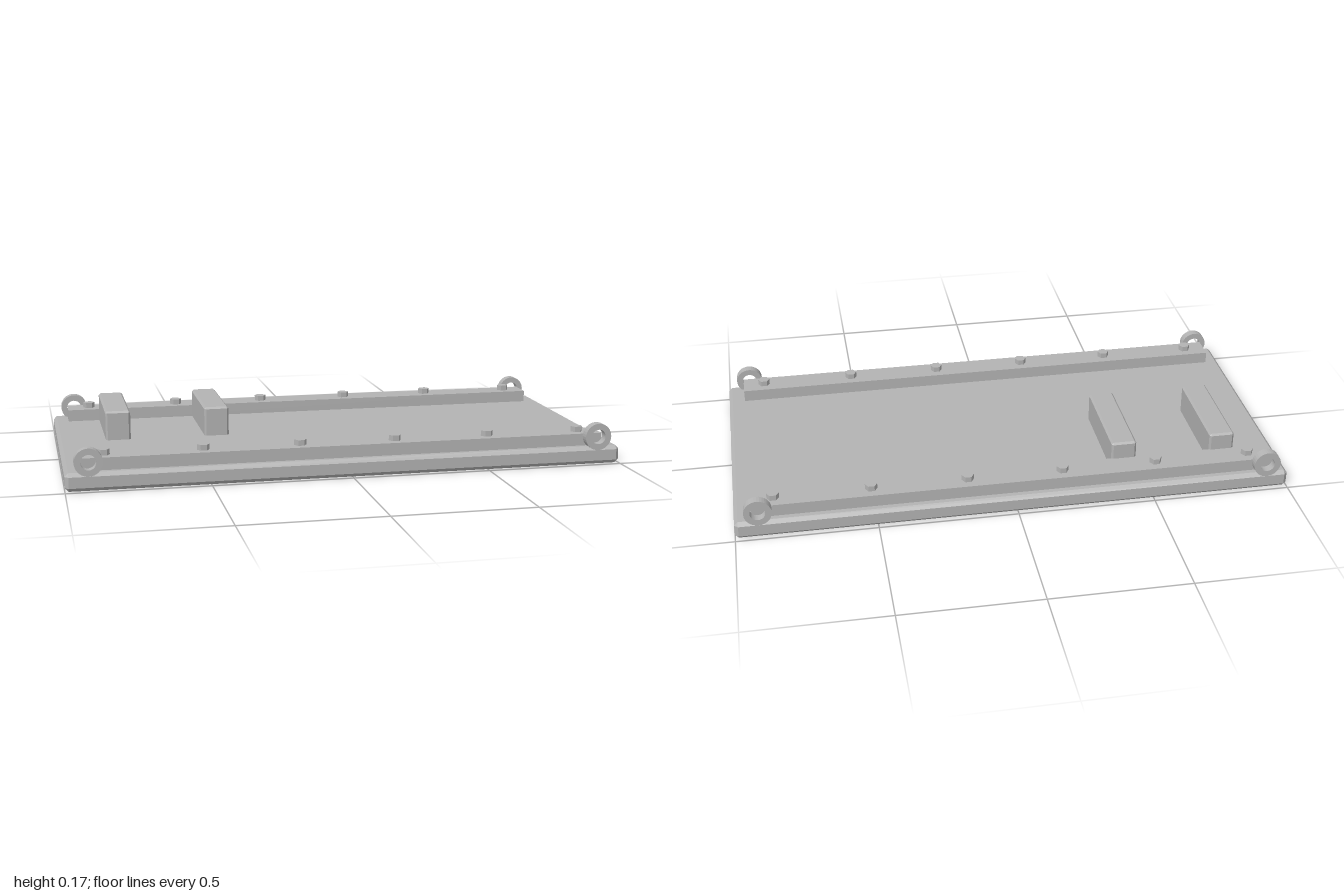
import * as THREE from 'three';
import { ConvexGeometry } from 'three/addons/geometries/ConvexGeometry.js';

// Box with chamfered edges, given by its limits
function chamferBox(x0, x1, y0, y1, z0, z1, c) {
  const half = [(x1 - x0) / 2, (y1 - y0) / 2, (z1 - z0) / 2];
  const points = [];
  for (const sx of [-1, 1]) for (const sy of [-1, 1]) for (const sz of [-1, 1]) {
    for (let full = 0; full < 3; full++) {
      const [x, y, z] = half.map((h, i) => (i === full ? h : h - c));
      points.push(new THREE.Vector3(sx * x, sy * y, sz * z));
    }
  }
  return new ConvexGeometry(points).translate((x0 + x1) / 2, (y0 + y1) / 2, (z0 + z1) / 2);
}

export function createModel() {
  const model = new THREE.Group();
  const grey = new THREE.MeshStandardMaterial({ color: 0xb3b3b3 });
  grey.name = 'grey metal';

  const add = (name, geometry, x = 0, y = 0, z = 0) => {
    const mesh = new THREE.Mesh(geometry, grey);
    mesh.name = name;
    mesh.position.set(x, y, z);
    model.add(mesh);
    return mesh;
  };

  // Base plate
  add('basePlate', chamferBox(-1, 1, 0, 0.065, -0.49, 0.49, 0.013));

  // Two raised blocks towards the back
  for (const x of [-0.78, -0.412]) {
    add('block', chamferBox(x - 0.046, x + 0.046, 0.055, 0.173, -0.367, 0.006, 0.007));
  }

  // Shared shapes: rail, hexagonal bolt head, lifting ring
  const rail = new THREE.BoxGeometry(1.885, 0.05, 0.096);
  const bolt = new THREE.CylinderGeometry(0.022, 0.022, 0.03, 6).toNonIndexed();
  bolt.computeVertexNormals();
  bolt.rotateY(Math.PI / 6);
  const ringShape = new THREE.Shape().absarc(0, 0, 0.049, 0, Math.PI * 2, false);
  ringShape.holes.push(new THREE.Path().absarc(0, 0, 0.027, 0, Math.PI * 2, true));
  const ring = new THREE.ExtrudeGeometry(ringShape, { depth: 0.032, bevelEnabled: false, curveSegments: 16 });
  ring.translate(0, 0, -0.016);

  // Rails with bolts and end rings, front and back
  for (const side of [1, -1]) {
    const end = side > 0 ? 'front' : 'back';
    add(end + 'Rail', rail, -0.003, 0.084, side * 0.411);
    for (let i = 0; i < 6; i++) {
      add(end + 'Bolt', bolt, -0.863 + i * 0.3445, 0.114, side * 0.411);
    }
    for (const x of [-0.919, 0.916]) {
      add(end + 'Ring', ring, x, 0.101, side * 0.474);
    }
  }
  return model;
}
